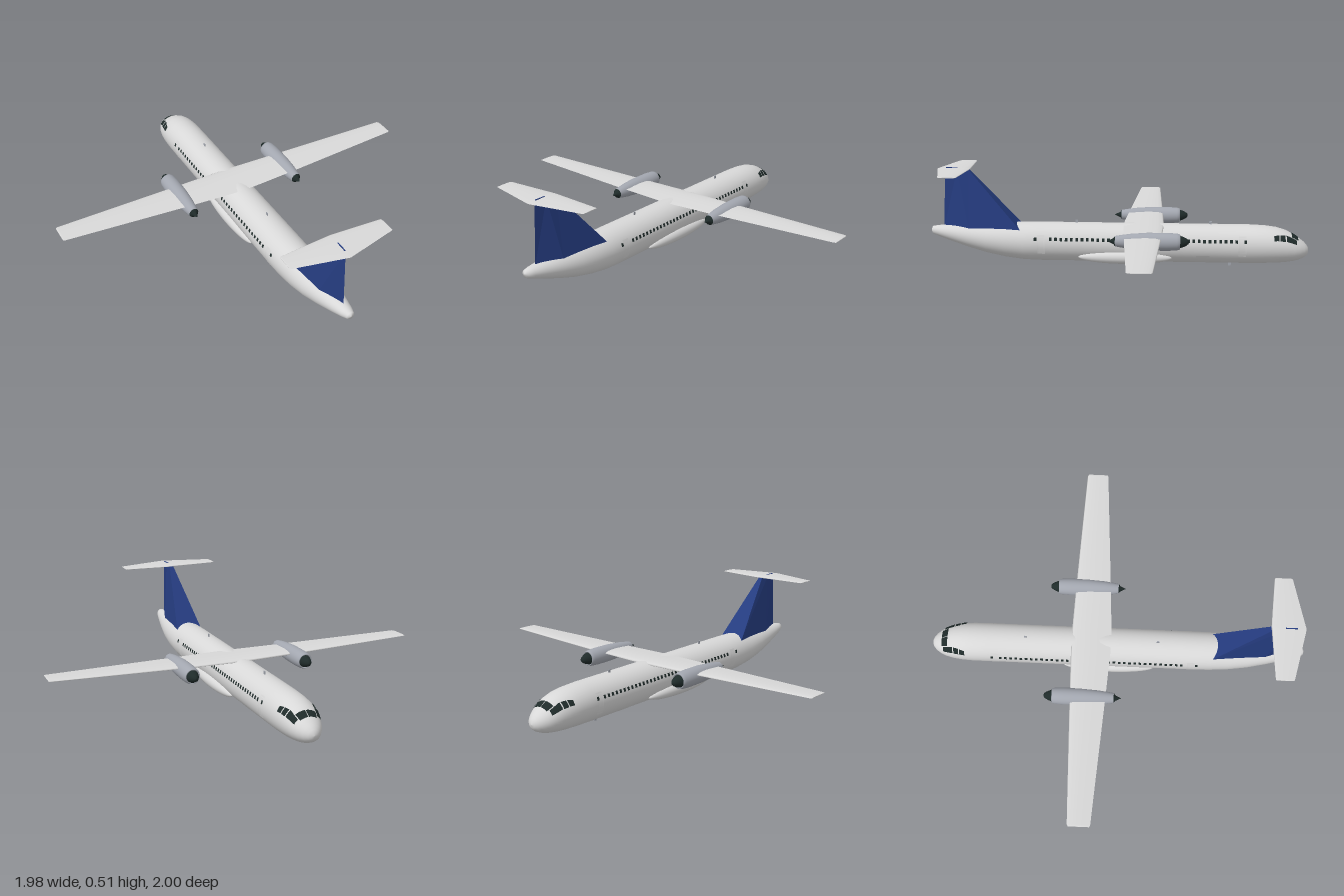
import * as THREE from 'three';
import { mergeGeometries } from 'three/addons/utils/BufferGeometryUtils.js';

const material = (name, color, extra = {}) => {
  const m = new THREE.MeshStandardMaterial({ color, ...extra });
  m.name = name;
  return m;
};

// Fuselage stations: z, bottom, top, half width (nose at -z)
const STATIONS = [
  [-1, 0.09, 0.09, 0], [-0.997, 0.075, 0.105, 0.016], [-0.99, 0.063, 0.118, 0.03],
  [-0.975, 0.051, 0.134, 0.047], [-0.95, 0.04, 0.153, 0.065], [-0.92, 0.032, 0.173, 0.079],
  [-0.88, 0.026, 0.195, 0.091], [-0.83, 0.022, 0.21, 0.099], [-0.77, 0.02, 0.218, 0.103],
  [-0.68, 0.018, 0.222, 0.103], [0.42, 0.018, 0.222, 0.103], [0.5, 0.021, 0.221, 0.102],
  [0.6, 0.034, 0.218, 0.097], [0.7, 0.055, 0.213, 0.086], [0.8, 0.084, 0.208, 0.068],
  [0.9, 0.118, 0.202, 0.047], [0.96, 0.14, 0.198, 0.033], [0.992, 0.153, 0.193, 0.021],
  [1, 0.172, 0.176, 0],
];

// Point on the fuselage at z, angle t from the top towards +x
function hull(z, t, lift = 0) {
  let i = 0;
  while (i < STATIONS.length - 2 && STATIONS[i + 1][0] < z) i++;
  const a = STATIONS[i], b = STATIONS[i + 1];
  const f = (z - a[0]) / (b[0] - a[0]);
  const [bottom, top, w] = [1, 2, 3].map((k) => a[k] + (b[k] - a[k]) * f);
  return [(w + lift) * Math.sin(t), (top + bottom) / 2 + ((top - bottom) / 2 + lift) * Math.cos(t), z];
}

// Skin over rows of points, optionally closed around and capped at both ends
function loft(rows, closed = false, capped = false) {
  const n = rows[0].length, pos = rows.flat(2), index = [];
  for (let i = 0; i < rows.length - 1; i++) {
    for (let j = 0; j < (closed ? n : n - 1); j++) {
      const a = i * n + j, b = i * n + (j + 1) % n;
      index.push(a, a + n, b, a + n, b + n, b);
    }
  }
  if (capped) {
    [rows[0], rows[rows.length - 1]].forEach((row, end) => {
      const s = pos.length / 3;
      pos.push(...row.flat());
      for (let j = 1; j < n - 1; j++) index.push(s, s + j + (end ? 1 : 0), s + j + (end ? 0 : 1));
    });
  }
  const g = new THREE.BufferGeometry();
  g.setAttribute('position', new THREE.Float32BufferAttribute(pos, 3));
  g.setIndex(index);
  g.computeVertexNormals();
  return g;
}

// Thin plate lying on the hull: angle ranges (degrees) at z0 and z1
function patch(z0, a0, a1, z1, b0, b1, side = 1, lift = 0.0015, steps = 4) {
  const rows = [];
  for (let i = 0; i <= steps; i++) {
    const f = i / steps, row = [];
    const lo = a0 + (b0 - a0) * f, hi = a1 + (b1 - a1) * f;
    for (let j = 0; j <= steps; j++) {
      const k = side > 0 ? j / steps : 1 - j / steps;
      const t = THREE.MathUtils.degToRad(lo + (hi - lo) * k) * side;
      row.push(hull(z0 + (z1 - z0) * f, t, lift));
    }
    rows.push(row);
  }
  return loft(rows);
}

// Aerofoil: chord fraction, height as a fraction of thickness
const FOIL = [[1, 0.06], [0.7, 0.33], [0.4, 0.5], [0.15, 0.42], [0.03, 0.2], [0, 0],
  [0.03, -0.17], [0.15, -0.32], [0.5, -0.38], [1, -0.06]];
const foilRow = ([x, y, front, back, thick]) =>
  FOIL.map(([u, v]) => [x, y + v * thick, front + (back - front) * u]);
function wing(sections) {
  const mirrored = sections.slice().reverse().map(([x, ...r]) => [-x, ...r]);
  return loft([...mirrored, ...sections].map(foilRow), false, true);
}

const latheZ = (points, segments = 32) =>
  new THREE.LatheGeometry(points.map(([z, r]) => new THREE.Vector2(r, z)), segments).rotateX(Math.PI / 2);

export function createModel() {
  const model = new THREE.Group();
  model.name = 'airliner';
  const white = material('body white', 0xd8d8d8);
  const blue = material('fin blue', 0x253c80, { flatShading: true });
  const grey = material('nacelle grey', 0xa3a7b0);
  const dark = material('dark glass', 0x1f2b2a);
  const add = (name, geometry, mat, parent = model) => {
    const mesh = new THREE.Mesh(geometry, mat);
    mesh.name = name;
    parent.add(mesh);
    return mesh;
  };

  // Fuselage
  const rings = STATIONS.map(([z]) =>
    Array.from({ length: 48 }, (_, j) => hull(z, (j / 48) * Math.PI * 2)));
  add('fuselage', loft(rings, true), white);

  // Cabin windows, cockpit glazing and doors on both sides
  const windows = [], cockpit = [], doors = [];
  for (const s of [-1, 1]) {
    const row = [0.43, -0.665];
    for (let i = 0; i < 36; i++) row.push(0.35 - i * 0.0277);
    for (const z of row) windows.push(patch(z - 0.007, 67, 77, z + 0.007, 67, 77, s, 0.0015, 2));
    cockpit.push(
      patch(-0.942, 1, 36, -0.908, 1, 36, s, 0.003, 6),
      patch(-0.932, 40, 62, -0.878, 38, 62, s, 0.003, 6),
      patch(-0.872, 39, 63, -0.845, 43, 64, s, 0.003, 6),
      patch(-0.84, 44, 64, -0.812, 50, 66, s, 0.003, 6));
    doors.push(
      patch(0.38, 60, 118, 0.42, 60, 118, s, 0.0008),
      patch(-0.67, 55, 118, -0.63, 55, 118, s, 0.0008),
      patch(-0.48, 118, 150, -0.41, 118, 150, s, 0.0008));
  }
  add('cabinWindows', mergeGeometries(windows), dark);
  add('cockpitWindows', mergeGeometries(cockpit), dark);
  add('doors', mergeGeometries(doors), white);

  // Wing: x, y, leading z, trailing z, thickness
  add('wing', wing([[0.06, 0.214, -0.24, -0.03, 0.024], [0.31, 0.216, -0.232, -0.045, 0.02],
    [0.98, 0.227, -0.206, -0.089, 0.01], [0.99, 0.227, -0.2, -0.094, 0.004]]), white);

  // Tailplane on top of the fin
  add('tailplane', wing([[0.004, 0.504, 0.78, 0.955, 0.013], [0.27, 0.504, 0.798, 0.892, 0.008],
    [0.275, 0.504, 0.802, 0.888, 0.004]]), white);
  add('finCap', new THREE.BoxGeometry(0.005, 0.006, 0.06).translate(0, 0.509, 0.88), blue);

  // Fin: broad flat leading face tapering to a sharp trailing edge
  const finRow = (y, zf, wf, zm, wm, zr) =>
    [[wf, y, zf], [wm, y, zm], [0, y, zr], [-wm, y, zm], [-wf, y, zf]];
  const fin = loft([finRow(0.185, 0.508, 0.073, 0.79, 0.047, 0.932),
    finRow(0.503, 0.79, 0.011, 0.85, 0.009, 0.915)], true, true);
  add('fin', fin.toNonIndexed(), blue);

  // Engines and landing gear fairings
  for (const s of [-1, 1]) {
    const engine = new THREE.Group();
    engine.name = s > 0 ? 'leftEngine' : 'rightEngine';
    engine.position.set(s * 0.31, 0.2, 0);
    model.add(engine);
    add('nacelle', latheZ([[-0.318, 0.03], [-0.326, 0.034], [-0.325, 0.038], [-0.31, 0.042],
      [-0.26, 0.045], [-0.16, 0.044], [-0.08, 0.038], [-0.03, 0.031], [-0.002, 0.026]]), grey, engine);
    add('spinner', latheZ([[-0.37, 0], [-0.367, 0.01], [-0.357, 0.018], [-0.34, 0.026],
      [-0.325, 0.031], [-0.316, 0.033]]), dark, engine);
    add('exhaustCone', latheZ([[-0.006, 0.026], [0, 0.024], [0.006, 0.015], [0.037, 0]]), dark, engine);

    const fairing = add('gearFairing', new THREE.SphereGeometry(1, 24, 24).rotateX(Math.PI / 2), white);
    fairing.scale.set(0.036, 0.034, 0.245);
    fairing.position.set(s * 0.082, 0.056, -0.04);
  }

  // Blade antennas
  for (const [y, z, h] of [[0.228, 0.22, 0.02], [0.228, -0.485, 0.02], [0.01, -0.59, 0.02]]) {
    add('antenna', new THREE.BoxGeometry(0.004, h, 0.014).translate(0, y, z), grey);
  }
  return model;
}
